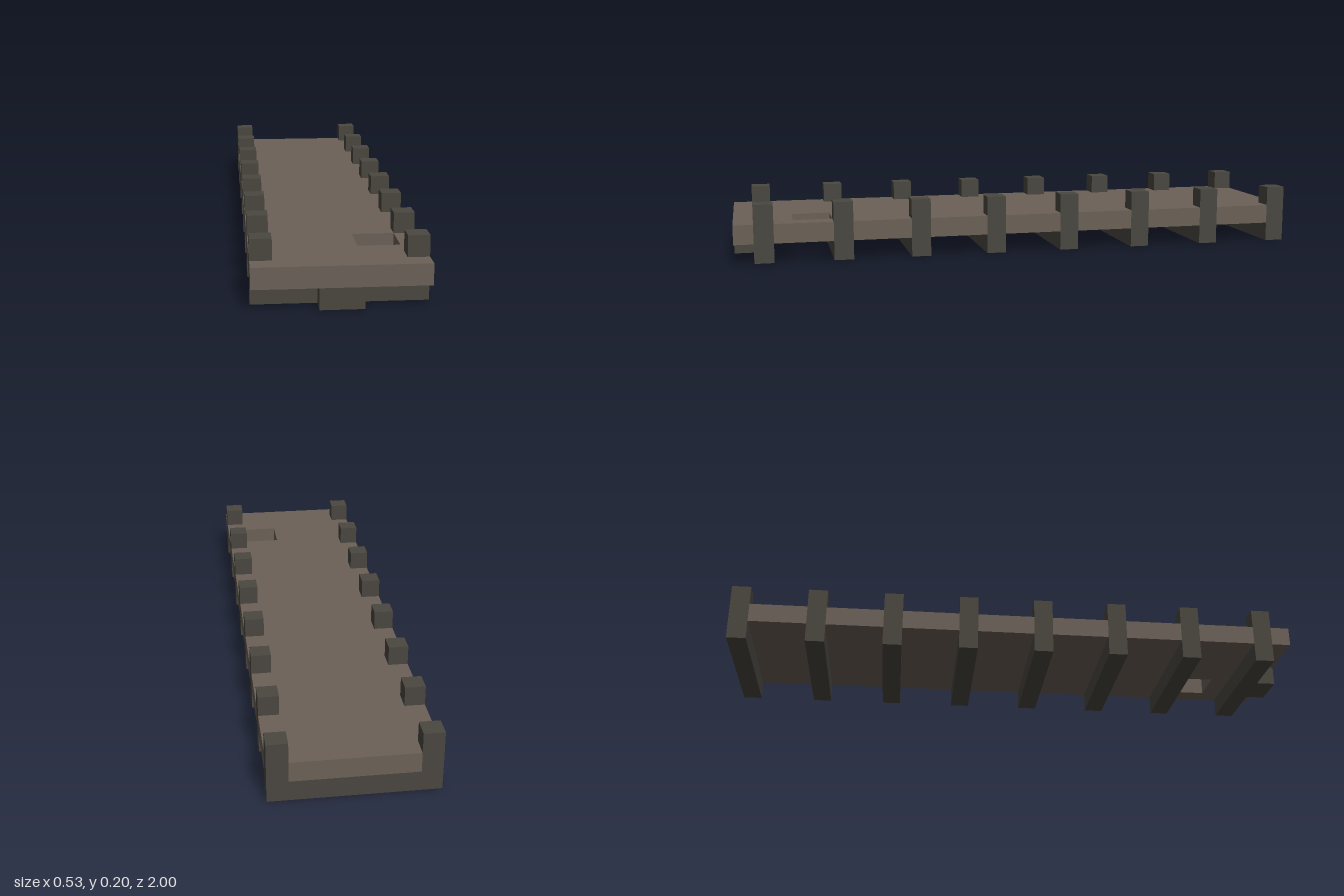
import * as THREE from 'three';

const U = 1 / 15;               // plank module: all parts are multiples of it
const HALF_W = 4 * U;           // half width of the deck
const FRAMES = 8;

const deckMat = new THREE.MeshStandardMaterial({ color: 0x6b6157 });
deckMat.name = 'weathered brown deck';
const frameMat = new THREE.MeshStandardMaterial({ color: 0x4a4740 });
frameMat.name = 'dark frame timber';

function box(name, w, h, d, x, y, z) {
  const mesh = new THREE.Mesh(new THREE.BoxGeometry(w, h, d), frameMat);
  mesh.name = name;
  mesh.position.set(x, y, z);
  return mesh;
}

// Deck slab, notched around every post and pierced by a square hatch
function createDeck(frameZ) {
  const side = [[HALF_W, -1]];
  frameZ.forEach((z, i) => {
    const a = -z - U / 2, b = -z + U / 2;
    side.push([HALF_W, a], [HALF_W - U, a], [HALF_W - U, b]);
    if (i < FRAMES - 1) side.push([HALF_W, b]);
  });
  const mirrored = side.map(([x, y]) => [-x, y]).reverse();
  const toVec = ([x, y]) => new THREE.Vector2(x, y);
  const shape = new THREE.Shape([...side, ...mirrored].map(toVec));
  shape.holes.push(new THREE.Path(
    [[U, -12 * U], [U, -10 * U], [3 * U, -10 * U], [3 * U, -12 * U]].map(toVec)));
  const geo = new THREE.ExtrudeGeometry(shape, { depth: U, bevelEnabled: false });
  geo.rotateX(-Math.PI / 2).translate(0, U, 0);
  const deck = new THREE.Mesh(geo, deckMat);
  deck.name = 'deck';
  return deck;
}

export function createModel() {
  const model = new THREE.Group();
  model.name = 'plank bridge';

  // Frame centres run from front to back, the last flush with the back edge
  const frameZ = Array.from({ length: FRAMES }, (_, i) => 13.5 * U - i * 4 * U);
  model.add(createDeck(frameZ));

  // Each frame is a cross beam under the deck with a post at either end
  for (const z of frameZ) {
    const frame = new THREE.Group();
    frame.name = 'frame';
    frame.add(box('crossBeam', 6 * U, U, U, 0, U / 2, z));
    for (const s of [-1, 1]) {
      frame.add(box(s > 0 ? 'leftPost' : 'rightPost', U, 3 * U, U, s * 3.5 * U, 1.5 * U, z));
    }
    model.add(frame);
  }

  // Short block under the front edge
  model.add(box('frontBlock', 2 * U, U, U, 0, U / 2, 14.5 * U));
  return model;
}
